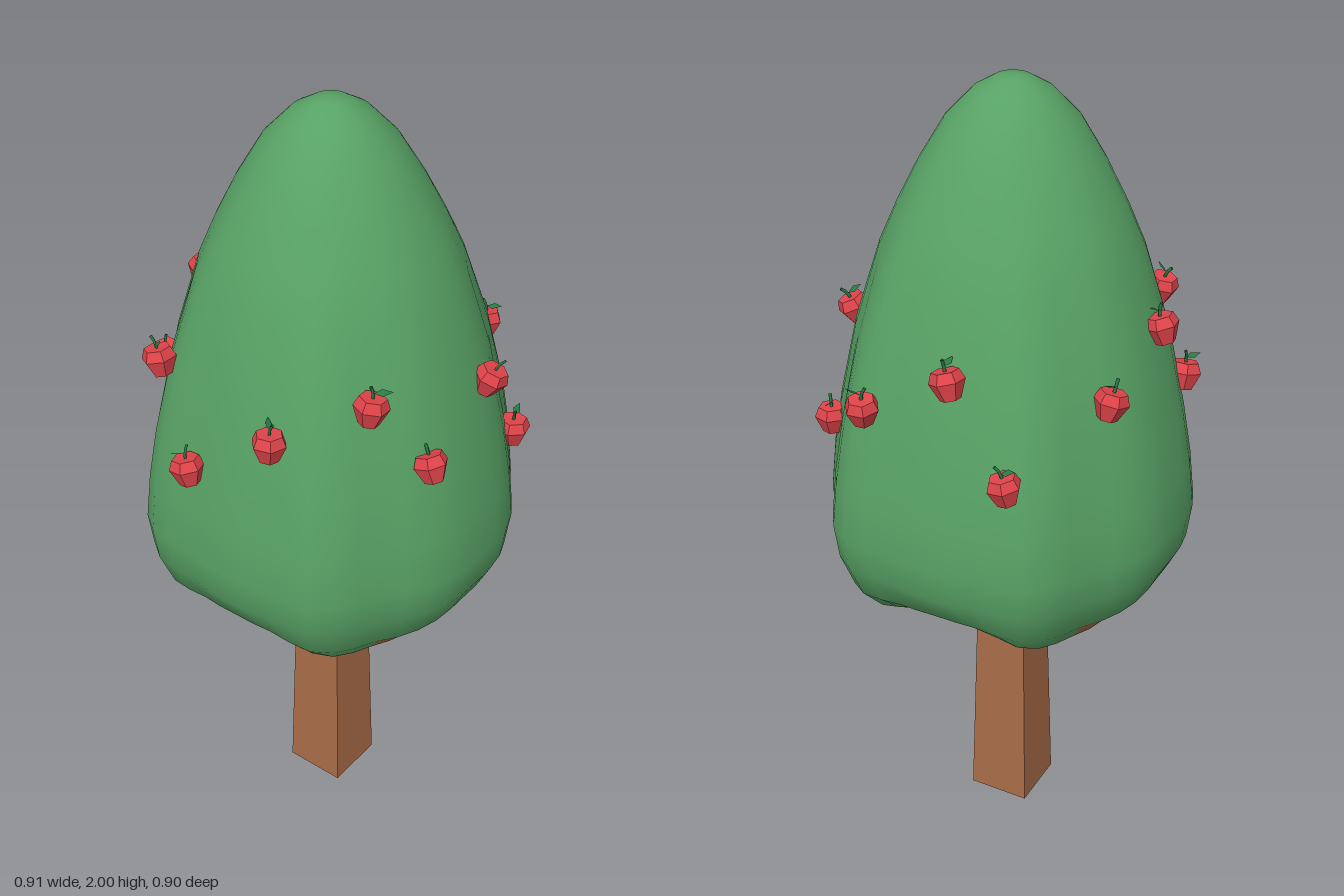
import * as THREE from 'three';

const material = (name, color, extra = {}) => {
  const m = new THREE.MeshStandardMaterial({ color, ...extra });
  m.name = name;
  return m;
};

// Crown: rings of [height, radius, notch lift], from the tip down and under
const RINGS = [
  [1.995, 0.04, 0], [1.965, 0.092, 0], [1.9, 0.155, 0], [1.8, 0.215, 0], [1.7, 0.265, 0],
  [1.6, 0.308, 0], [1.4, 0.369, 0], [1.2, 0.41, 0], [1.07, 0.432, 0], [0.95, 0.445, 0],
  [0.86, 0.434, 0], [0.77, 0.402, 0.02], [0.71, 0.355, 0.06], [0.67, 0.29, 0.09],
  [0.69, 0.18, 0.07], [0.75, 0.07, 0.02],
];
const FIRST_UNDERSIDE = 13;
const SIDES = 48;

// Slightly six-cornered plan, repeated in each quarter (degrees from z, factor)
const PLAN = [[0, 1.015], [18, 1.03], [38, 0.995], [57, 1.085], [74, 0.99], [90, 0.98]];
function planFactor(angle) {
  const a = Math.atan2(Math.abs(Math.sin(angle)), Math.abs(Math.cos(angle))) * 180 / Math.PI;
  for (let i = 1; i < PLAN.length; i++) {
    const [a0, f0] = PLAN[i - 1], [a1, f1] = PLAN[i];
    if (a <= a1 + 1e-6) return f0 + (f1 - f0) * (a - a0) / (a1 - a0);
  }
  return 1;
}

function crownGeometry() {
  const points = [0, 2, 0];
  for (const [y, r, lift] of RINGS) {
    const weight = THREE.MathUtils.clamp((1.9 - y) / 0.7, 0, 1);
    for (let j = 0; j < SIDES; j++) {
      const a = j / SIDES * Math.PI * 2;
      const notch = Math.pow(0.5 + 0.5 * Math.cos(4 * a), 1.3);
      const radius = r * (1 + (planFactor(a) - 1) * weight) * (1 - lift * notch * 0.4);
      points.push(Math.sin(a) * radius + 0.008 * weight, y + lift * notch, Math.cos(a) * radius);
    }
  }
  points.push(0, 0.77, 0);
  const last = points.length / 3 - 1;
  const at = (i, j) => 1 + i * SIDES + j % SIDES;
  const leafy = [], under = [];
  for (let j = 0; j < SIDES; j++) {
    leafy.push(0, at(0, j), at(0, j + 1));
    // The brown underside reaches up to the rim at the front and back
    const creep = Math.abs(Math.cos((j + 0.5) / SIDES * Math.PI * 2)) > 0.78 ? 2 : 0;
    for (let i = 0; i < RINGS.length - 1; i++) {
      const list = i >= FIRST_UNDERSIDE - creep ? under : leafy;
      list.push(at(i, j), at(i + 1, j), at(i + 1, j + 1), at(i, j), at(i + 1, j + 1), at(i, j + 1));
    }
    under.push(at(RINGS.length - 1, j), last, at(RINGS.length - 1, j + 1));
  }
  const g = new THREE.BufferGeometry();
  g.setAttribute('position', new THREE.Float32BufferAttribute(points, 3));
  g.setIndex([...leafy, ...under]);
  g.addGroup(0, leafy.length, 0);
  g.addGroup(leafy.length, under.length, 1);
  g.computeVertexNormals();
  return g;
}

// Flat-sided square beam between two points, tapering along its length
function beam(from, to, w0, w1, mat, name) {
  const dir = to.clone().sub(from);
  const g = new THREE.CylinderGeometry(w1 / Math.SQRT2, w0 / Math.SQRT2, dir.length(), 4).toNonIndexed();
  g.rotateY(Math.PI / 4);
  g.computeVertexNormals();
  const mesh = new THREE.Mesh(g, mat);
  mesh.position.copy(from).add(to).multiplyScalar(0.5);
  mesh.quaternion.setFromUnitVectors(new THREE.Vector3(0, 1, 0), dir.normalize());
  mesh.name = name;
  return mesh;
}

// Fruit positions on the crown
const APPLES = [
  [-0.16, 1.275, -0.38], [-0.02, 1.455, -0.375], [0.2, 1.355, -0.35], [0.42, 1.21, -0.2],
  [0.392, 1.42, -0.045], [0.402, 1.305, 0.175], [0.235, 1.155, 0.375], [0.085, 1.385, 0.39],
  [-0.14, 1.27, 0.39], [-0.243, 1.44, 0.295], [-0.38, 1.345, 0.12], [-0.412, 1.2, -0.1],
  [-0.333, 1.405, -0.24],
];

export function createModel() {
  const tree = new THREE.Group();
  tree.name = 'appleTree';
  const green = material('leafGreen', 0x58a265);
  const brown = material('barkBrown', 0xa86c48);
  const red = material('appleRed', 0xe0444a, { flatShading: true });
  const dark = material('stemGreen', 0x2a7a45, { side: THREE.DoubleSide });

  const crown = new THREE.Mesh(crownGeometry(), [green, brown]);
  crown.name = 'crown';
  tree.add(crown);

  // Trunk and four forked branches
  const v = (x, y, z) => new THREE.Vector3(x, y, z);
  tree.add(beam(v(0.004, 0, 0), v(0.004, 0.55, 0), 0.162, 0.136, brown, 'trunk'));
  const branches = new THREE.Group();
  branches.name = 'branches';
  for (let i = 0; i < 4; i++) {
    const arm = new THREE.Group();
    arm.add(beam(v(0.015, 0.545, 0), v(0.26, 0.79, 0), 0.105, 0.08, brown, 'branch'));
    arm.rotation.y = i * Math.PI / 2;
    branches.add(arm);
  }
  tree.add(branches);

  // Shared fruit shapes: faceted body, bent stem and a pointed leaf
  const profile = [[0, -0.038], [0.024, -0.034], [0.042, 0.008], [0.032, 0.032], [0, 0.03]];
  const bodyShape = new THREE.LatheGeometry(profile.map(([x, y]) => new THREE.Vector2(x, y)), 6);
  const stemShape = new THREE.TubeGeometry(
    new THREE.CatmullRomCurve3([v(0, 0.025, 0), v(0.003, 0.045, 0), v(0.012, 0.06, 0)]), 3, 0.004, 4);
  const outline = new THREE.Shape();
  outline.moveTo(0, 0);
  outline.lineTo(0.018, 0.01);
  outline.lineTo(0.042, 0);
  outline.lineTo(0.018, -0.01);
  const leafShape = new THREE.ShapeGeometry(outline);
  leafShape.rotateX(-Math.PI / 2 + 0.5);

  APPLES.forEach(([x, y, z], i) => {
    const apple = new THREE.Group();
    apple.name = 'apple';
    const body = new THREE.Mesh(bodyShape, red);
    const stem = new THREE.Mesh(stemShape, dark);
    const leaf = new THREE.Mesh(leafShape, dark);
    body.name = 'appleBody';
    stem.name = 'appleStem';
    leaf.name = 'appleLeaf';
    leaf.position.set(0, 0.042, 0);
    leaf.rotation.set(0, 2.6, 0.25);
    apple.add(body, stem, leaf);
    apple.position.set(x, y, z);
    apple.rotation.set(0.25 * Math.sin(i * 2.1), i * 1.7, 0.25 * Math.cos(i * 1.3));
    tree.add(apple);
  });
  return tree;
}
